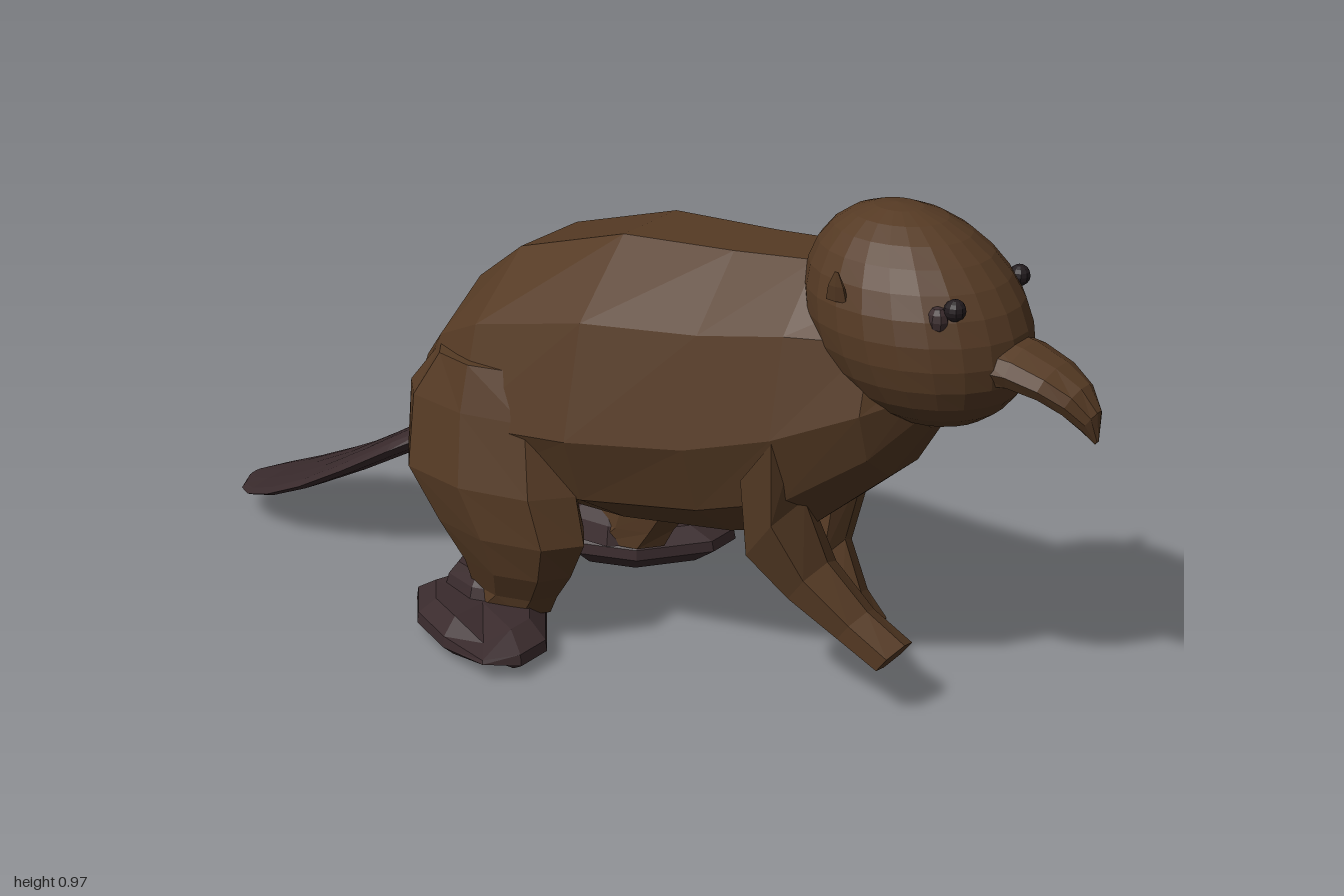
import * as THREE from 'three';

const mat = (name, color) => new THREE.MeshStandardMaterial({ name, color, flatShading: true });

// Faceted solid through rings of points, closed at both ends
function loft(rings) {
  const n = rings[0].length, pos = rings.flat(2), idx = [];
  const quad = (a, b, c, d) => idx.push(a, b, c, a, c, d);
  for (let r = 0; r < rings.length - 1; r++)
    for (let i = 0; i < n; i++) {
      const j = (i + 1) % n;
      quad(r * n + i, r * n + j, (r + 1) * n + j, (r + 1) * n + i);
    }
  [0, rings.length - 1].forEach((r, end) => {
    const c = pos.length / 3;
    for (let k = 0; k < 3; k++) pos.push(rings[r].reduce((s, p) => s + p[k], 0) / n);
    for (let i = 0; i < n; i++) {
      const a = r * n + i, b = r * n + (i + 1) % n;
      end ? idx.push(c, a, b) : idx.push(c, b, a);
    }
  });
  // Turn faces outward if the enclosed volume is negative
  const P = (i) => new THREE.Vector3(pos[3 * i], pos[3 * i + 1], pos[3 * i + 2]);
  let vol = 0;
  for (let i = 0; i < idx.length; i += 3) vol += P(idx[i]).dot(P(idx[i + 1]).cross(P(idx[i + 2])));
  if (vol < 0) idx.reverse();
  const g = new THREE.BufferGeometry();
  g.setAttribute('position', new THREE.Float32BufferAttribute(pos, 3));
  g.setIndex(idx);
  const flat = g.toNonIndexed();
  flat.computeVertexNormals();
  return flat;
}

const around = (n, f, shift = 0) => Array.from({ length: n }, (_, i) => {
  const a = (i + shift) / n * Math.PI * 2;
  return f(Math.cos(a), Math.sin(a));
});

export function createModel() {
  const root = new THREE.Group();
  root.name = 'animal';
  const fur = mat('brownFur', 0x553a24);
  const skin = mat('darkSkin', 0x3a2b2d);
  const eyeMat = mat('eyeDark', 0x221b1e);
  const add = (name, geo, m) => {
    const mesh = new THREE.Mesh(geo, m);
    mesh.name = name;
    root.add(mesh);
    return mesh;
  };

  // Body: z, top, bottom, half width, height of widest point
  const body = [
    [0.68, 0.74, 0.57, 0.09, 0.65], [0.61, 0.84, 0.46, 0.16, 0.62],
    [0.45, 0.87, 0.32, 0.205, 0.55], [0.28, 0.857, 0.27, 0.235, 0.5],
    [0.04, 0.845, 0.24, 0.275, 0.47], [-0.2, 0.77, 0.24, 0.285, 0.45],
    [-0.31, 0.68, 0.27, 0.25, 0.45], [-0.4, 0.54, 0.36, 0.165, 0.45],
  ];
  add('body', loft(body.map(([z, t, b, w, m]) =>
    around(10, (c, s) => [w * c, m + s * (s > 0 ? t - m : m - b) / Math.sin(Math.PI * 0.5), z], 0))
    .map((ring) => ring.map(([x, y, z]) => [x, y, z]))), fur);

  // Head: rounded, fuller at the cheeks and leaning forward below
  const head = new THREE.SphereGeometry(1, 22, 14);
  const p = head.attributes.position;
  for (let i = 0; i < p.count; i++) {
    const x = p.getX(i), y = p.getY(i), z = p.getZ(i);
    p.setXYZ(i, x * 0.183 * (1 - 0.07 * y), 0.777 + y * 0.196, 0.63 + z * 0.21 - 0.05 * y);
  }
  head.computeVertexNormals();
  add('head', head, fur);

  // Beak: z, y, half width, half height, bending down to the tip
  const beak = [
    [0.78, 0.725, 0.083, 0.055], [0.85, 0.724, 0.076, 0.042], [0.91, 0.708, 0.066, 0.034],
    [0.955, 0.683, 0.048, 0.03], [0.985, 0.65, 0.025, 0.022], [0.997, 0.613, 0.004, 0.004],
  ];
  add('beak', loft(beak.map(([z, y, w, h], k) =>
    around(10, (c, s) => [w * c, y + h * s, z + h * s * k * 0.16]))), fur);

  // Tail paddle: z, y, half width, half thickness
  const tail = [
    [-0.35, 0.345, 0.07, 0.03], [-0.43, 0.31, 0.09, 0.032], [-0.52, 0.262, 0.13, 0.029],
    [-0.62, 0.204, 0.157, 0.026], [-0.73, 0.144, 0.165, 0.022], [-0.83, 0.098, 0.155, 0.019],
    [-0.91, 0.068, 0.125, 0.015], [-0.965, 0.054, 0.085, 0.012], [-1, 0.05, 0.025, 0.006],
  ];
  add('tail', loft(tail.map(([z, y, w, h]) =>
    around(12, (c, s) => [w * c, y + h * s, z]))), skin);

  // Fur tuft over the tail root
  add('tailTuft', loft([[-0.37, 0.39, 0.06, 0.05], [-0.425, 0.39, 0.078, 0.035], [-0.455, 0.45, 0.04, 0.012]]
    .map(([z, y, w, h]) => around(6, (c, s) => [w * c, y + h * s, z - h * s * 0.3]))), fur);

  const footOutline = [[0.415, -0.05], [0.36, 0], [0.28, 0], [0.15, -0.1], [0.11, -0.22],
    [0.16, -0.33], [0.24, -0.355], [0.33, -0.28], [0.385, -0.17]];
  // Haunch rings: y, centre x, centre z, half width, half depth
  const haunch = [
    [0.57, 0.2, -0.19, 0.07, 0.12], [0.48, 0.21, -0.19, 0.085, 0.19], [0.34, 0.225, -0.175, 0.1, 0.205],
    [0.24, 0.22, -0.13, 0.095, 0.175], [0.16, 0.21, -0.12, 0.08, 0.125],
    [0.1, 0.195, -0.14, 0.065, 0.1], [0.06, 0.19, -0.18, 0.065, 0.12],
  ];

  for (const [side, s] of [['left', 1], ['right', -1]]) {
    // Hind leg and splayed foot
    add(side + 'HindLeg', loft(haunch.map(([y, x, z, w, d]) =>
      around(8, (c, q) => [s * (x + w * c), y, z + d * q]))), fur);
    const sole = [[0.003, 0.78], [0.03, 1], [0.052, 0.98], [0.08, 0.72]];
    add(side + 'Foot', loft(sole.map(([y, k]) => footOutline.map(([x, z]) =>
      [s * (0.24 + (x - 0.24) * k), x > 0.4 ? 0.045 + (y - 0.045) * 0.3 : y, -0.18 + (z + 0.18) * k]))), skin);
    add(side + 'Ankle', loft([[0.06, 0.08, 0.11], [0.1, 0.068, 0.1], [0.125, 0.05, 0.08]].map(([y, w, d]) =>
      around(7, (c, q) => [s * (0.19 + w * c), y, -0.2 + d * q]))), skin);

    // Foreleg, the right one reaching further ahead: x, y, z, half width, half thickness
    const arm = s > 0
      ? [[0.15, 0.5, 0.4, 0.06, 0.11], [0.13, 0.33, 0.4, 0.08, 0.09], [0.09, 0.2, 0.4, 0.058, 0.055],
        [0.075, 0.12, 0.455, 0.053, 0.042], [0.075, 0.073, 0.5, 0.055, 0.036]]
      : [[0.15, 0.5, 0.42, 0.06, 0.11], [0.12, 0.34, 0.42, 0.08, 0.09], [0.09, 0.24, 0.475, 0.065, 0.055],
        [0.07, 0.165, 0.56, 0.052, 0.04], [0.062, 0.118, 0.64, 0.052, 0.036]];
    add(side + 'Foreleg', loft(arm.map(([x, y, z, w, h]) =>
      around(6, (c, q) => [s * x + w * c, y + h * q * 0.8, z + h * q * 0.6], 0.5))), fur);

    // Eye with the dark patch beneath, and a tiny pointed ear
    const eye = add(side + 'Eye', new THREE.SphereGeometry(0.02, 10, 8), eyeMat);
    eye.position.set(s * 0.112, 0.842, 0.768);
    const patch = add(side + 'EyePatch', new THREE.SphereGeometry(0.026, 8, 6), skin);
    patch.position.set(s * 0.126, 0.822, 0.742);
    patch.scale.set(0.7, 1, 0.8);
    add(side + 'Ear', loft([[0.83, 0.162, 0.024], [0.86, 0.17, 0.018], [0.888, 0.175, 0.004]].map(([y, x, d]) =>
      around(6, (c, q) => [s * (x + d * 0.3 * c), y, 0.565 + d * q - (0.888 - y) * 0.1]))), fur);
  }
  return root;
}
